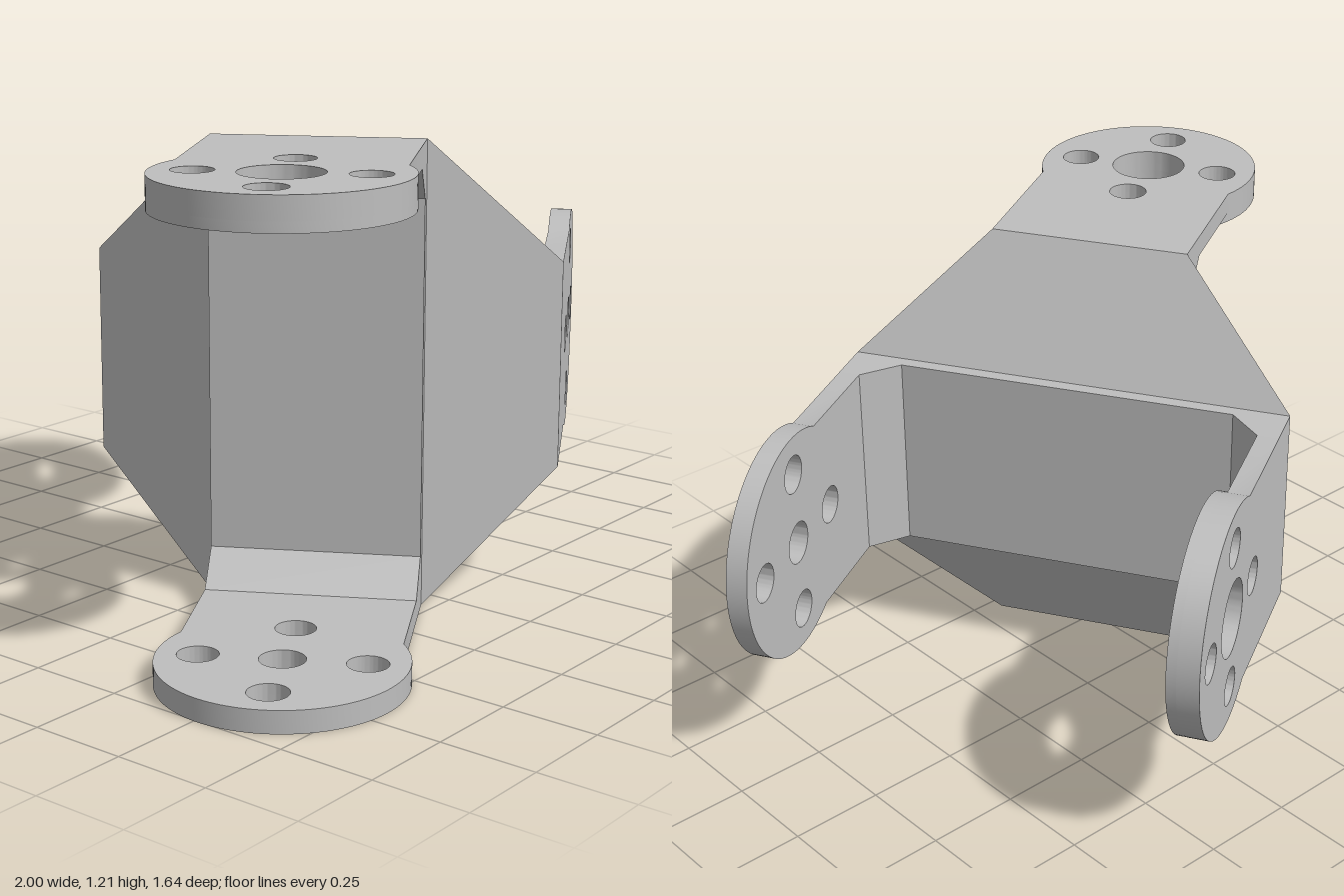
import * as THREE from 'three';
import { toCreasedNormals } from 'three/addons/utils/BufferGeometryUtils.js';
import { ConvexGeometry } from 'three/addons/geometries/ConvexGeometry.js';

const HALF = 0.607;      // half the outer span of each fork
const STRIP = 0.272;     // half the width of the fork strip
const ARM = 0.057;       // arm thickness
const BOSS = 0.026;      // extra thickness of the boss
const ROOT = 0.126;      // where the corner fillet ends and the arm begins
const HUB = 0.563;       // distance from web to hub centre
const RADIUS = 0.305;    // hub radius
const GAP = 0.09;        // half the distance between the two webs

export function createModel() {
  const metal = new THREE.MeshStandardMaterial({ color: 0xbebebe });
  metal.name = 'grey metal';

  const addMesh = (parent, name, geometry) => {
    const mesh = new THREE.Mesh(geometry, metal);
    mesh.name = name;
    parent.add(mesh);
    return mesh;
  };

  const extrude = (shape, depth) => toCreasedNormals(
    new THREE.ExtrudeGeometry(shape, { depth, bevelEnabled: false, curveSegments: 40 }), 0.5);

  // Central bore with four screw holes around it
  const drill = (shape, bore) => {
    const holes = [[0, 0, bore], [0.203, 0, 0.051], [-0.203, 0, 0.051], [0, 0.203, 0.051], [0, -0.203, 0.051]];
    for (const [x, y, r] of holes) {
      shape.holes.push(new THREE.Path().absarc(HUB + x, y, r, 0, Math.PI * 2, true));
    }
    return shape;
  };

  // Flat arm ending in a round hub, thickness along +y
  const armGeometry = (bore) => {
    const a = Math.PI - Math.asin(STRIP / RADIUS);
    const shape = new THREE.Shape();
    shape.moveTo(ROOT, -STRIP);
    shape.lineTo(HUB + RADIUS * Math.cos(a), -STRIP);
    shape.absarc(HUB, 0, RADIUS, -a, a, false);
    shape.lineTo(ROOT, STRIP);
    shape.closePath();
    return extrude(drill(shape, bore), ARM).rotateX(-Math.PI / 2);
  };

  // U-shaped fork: web at x = 0, arms along +x, thick hub on the +y side
  const makeFork = (name) => {
    const fork = new THREE.Group();
    fork.name = name;
    const inner = HALF - ARM;
    const section = new THREE.Shape([
      [0, -HALF], [ROOT, -HALF], [ROOT, -inner], [0.037, -0.463],
      [0.037, 0.463], [ROOT, inner], [ROOT, HALF], [0, HALF],
    ].map(([x, y]) => new THREE.Vector2(x, y)));
    addMesh(fork, 'web', extrude(section, STRIP * 2).translate(0, 0, -STRIP));
    addMesh(fork, 'plainArm', armGeometry(0.057)).position.y = -HALF;
    addMesh(fork, 'bossArm', armGeometry(0.102)).position.y = inner;
    const disc = drill(new THREE.Shape().absarc(HUB, 0, RADIUS, 0, Math.PI * 2, false), 0.102);
    addMesh(fork, 'boss', extrude(disc, BOSS).rotateX(-Math.PI / 2)).position.y = inner - BOSS;
    return fork;
  };

  const bracket = new THREE.Group();
  bracket.name = 'doubleForkBracket';

  // Fork with upright arms, opening to the left
  const uprightFork = makeFork('uprightFork');
  uprightFork.rotation.x = -Math.PI / 2;
  uprightFork.position.x = GAP;

  // Fork with level arms, opening to the right
  const levelFork = makeFork('levelFork');
  levelFork.rotation.y = Math.PI;
  levelFork.position.x = -GAP;
  bracket.add(uprightFork, levelFork);

  // Tapered block joining the two crossed webs
  const corners = [];
  for (const a of [-1, 1]) {
    for (const b of [-1, 1]) {
      corners.push(new THREE.Vector3(-GAP, a * HALF, b * STRIP));
      corners.push(new THREE.Vector3(GAP, a * STRIP, b * HALF));
    }
  }
  addMesh(bracket, 'taperedCore', new ConvexGeometry(corners));

  bracket.rotation.y = Math.PI / 6;
  bracket.position.set(-0.134, HALF, 0.184);

  const model = new THREE.Group();
  model.name = 'bracketModel';
  model.add(bracket);
  return model;
}
